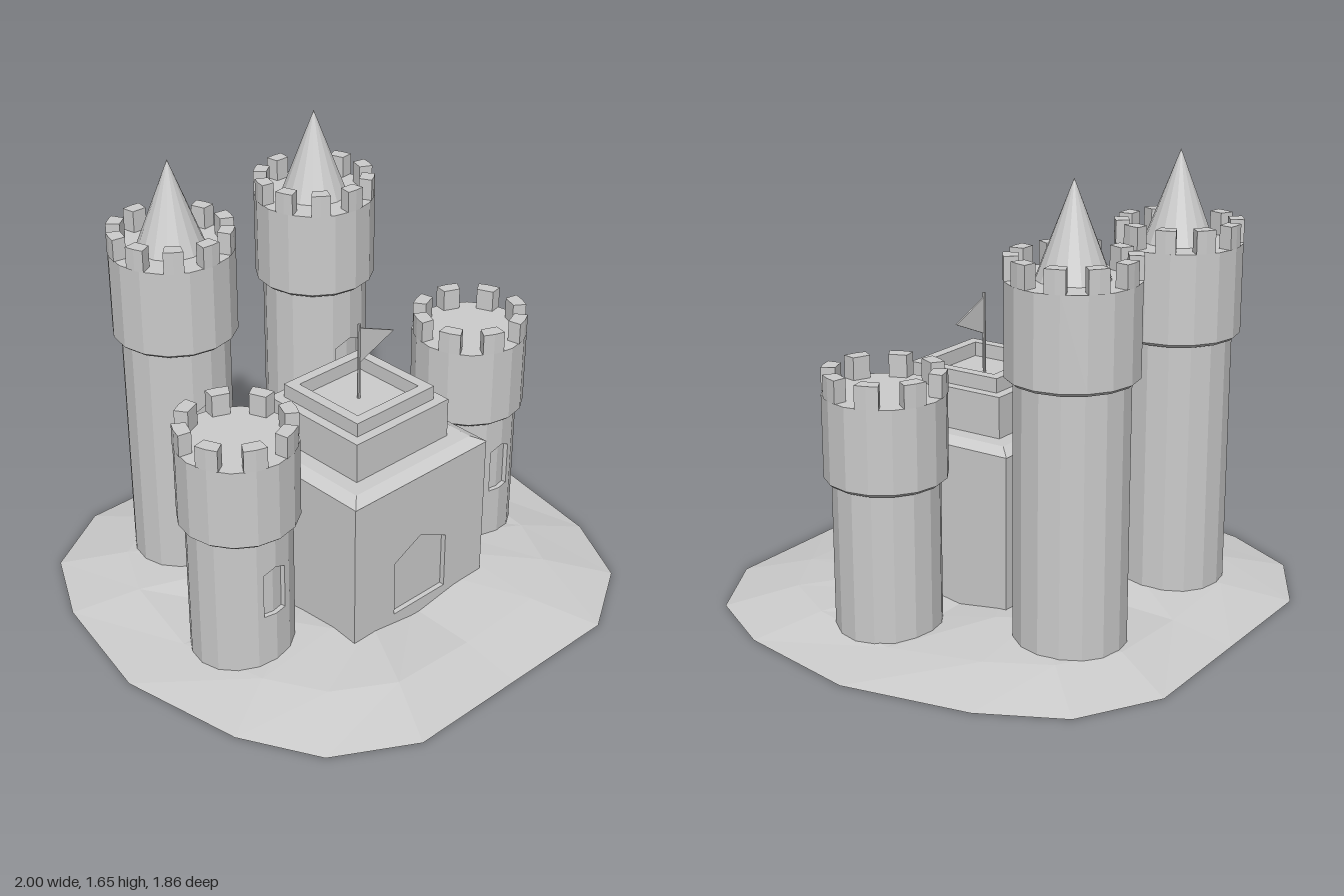
import * as THREE from 'three';

const mat = new THREE.MeshStandardMaterial({ color: 0xcccccc, flatShading: true });
const matDouble = new THREE.MeshStandardMaterial({ color: 0xcccccc, flatShading: true, side: THREE.DoubleSide });

function add(parent, name, geo, x = 0, y = 0, z = 0, material = mat) {
  const m = new THREE.Mesh(geo, material);
  m.name = name;
  m.position.set(x, y, z);
  parent.add(m);
  return m;
}

const shapeOf = pts => new THREE.Shape(pts.map(p => new THREE.Vector2(p[0], p[1])));
const extrude = (shape, depth) => new THREE.ExtrudeGeometry(shape, { depth, bevelEnabled: false });
const square = h => [[-h, -h], [h, -h], [h, h], [-h, h]];

// Low mound: rings of the outline scaled toward a shallow middle
function moundGeometry() {
  const half = [[0, -0.93], [0.465, -0.93], [0.755, -0.76], [0.905, -0.47], [1, 0], [0.91, 0.47], [0.755, 0.755], [0.465, 0.925], [0, 0.925]];
  const outline = [...half, ...half.slice(1, -1).reverse().map(([x, z]) => [-x, z])];
  const n = outline.length;
  const rings = [[1, 0, 0], [0.75, 0.04, 0.02], [0.45, 0.045, 0.04], [0.001, 0.045, 0]];
  const pos = [], index = [];
  for (const [s, base, bump] of rings) {
    for (const [x, z] of outline) {
      const y = base + bump * Math.abs(Math.sin(2 * Math.atan2(z, x)));
      pos.push(x * s, y, z * s);
    }
  }
  for (let r = 0; r < rings.length - 1; r++) {
    for (let i = 0; i < n; i++) {
      const a = r * n + i, b = r * n + (i + 1) % n;
      index.push(a, a + n, b, b, a + n, b + n);
    }
  }
  const g = new THREE.BufferGeometry();
  g.setAttribute('position', new THREE.Float32BufferAttribute(pos, 3));
  g.setIndex(index);
  g.computeVertexNormals();
  return g;
}

// Round tower with a recessed pointed window across its two front facets
function makeTower({ name, r, R, collar, roof, top, merlons, offset, win }) {
  const t = new THREE.Group();
  t.name = name;
  const seg = Math.PI / 8, depth = 0.018;
  add(t, 'shaft', new THREE.CylinderGeometry(r, r, collar, 14, 1, true, seg, 14 * seg), 0, collar / 2, 0);
  add(t, 'shaftBase', new THREE.CircleGeometry(r, 16).rotateX(Math.PI / 2));

  const w = 2 * r * Math.sin(seg / 2);
  for (const s of [-1, 1]) {
    const panel = shapeOf([
      [0, 0], [s * w, 0], [s * w, collar], [0, collar], [0, win.apex],
      [s * win.half, win.shoulder], [s * win.half, win.sill], [0, win.sill],
    ]);
    const g = extrude(panel, depth).translate(0, 0, -depth).rotateY(s * seg / 2);
    add(t, 'windowWall', g, 0, 0, r);
  }
  const inner = r - depth, h = win.apex - win.sill + 0.04;
  add(t, 'windowBack', new THREE.CylinderGeometry(inner, inner, h, 2, 1, true, -seg, 2 * seg), 0, (win.apex + win.sill) / 2, 0);

  // Wider head with a small chamfer below
  const profile = [[r - 0.02, collar - 0.012], [R - 0.014, collar - 0.012], [R, collar], [R, roof], [0, roof]];
  add(t, 'towerHead', new THREE.LatheGeometry(profile.map(p => new THREE.Vector2(...p)), 16));

  // Battlements
  const step = 2 * Math.PI / merlons, a = step / 4, ri = R - 0.05;
  const tooth = shapeOf([[-a, R], [0, R], [a, R], [a, ri], [-a, ri]].map(([q, d]) => [d * Math.sin(q), d * Math.cos(q)]));
  for (let i = 0; i < merlons; i++) {
    const g = extrude(tooth, top - roof).rotateX(-Math.PI / 2).rotateY((i + offset) * step);
    add(t, 'merlon', g, 0, roof, 0);
  }
  return t;
}

// Stepped keep with a recessed door, hollow crown and flag
function makeKeep() {
  const k = new THREE.Group();
  k.name = 'keep';
  const H = 0.645, d = 0.02;
  add(k, 'keepBody', new THREE.BoxGeometry(0.66, H, 0.655 - d), 0, H / 2, -d / 2);
  const front = shapeOf([[-0.33, 0], [0.33, 0], [0.33, H], [-0.33, H]]);
  front.holes.push(new THREE.Path(
    [[-0.13, 0.1], [-0.13, 0.325], [0, 0.39], [0.13, 0.325], [0.13, 0.1]].map(p => new THREE.Vector2(...p))));
  add(k, 'doorWall', extrude(front, d), 0, 0, 0.3275 - d);

  const slope = new THREE.CylinderGeometry(0.285 * Math.SQRT2, 0.33 * Math.SQRT2, 0.022, 4, 1, false, Math.PI / 4);
  add(k, 'keepRoof', slope, 0, H + 0.011, 0);
  add(k, 'upperTier', new THREE.BoxGeometry(0.455, 0.165, 0.455), 0, 0.7375, 0);

  const rim = shapeOf(square(0.19));
  rim.holes.push(new THREE.Path(square(0.15).map(p => new THREE.Vector2(...p))));
  add(k, 'crown', extrude(rim, 0.053).rotateX(-Math.PI / 2), 0, 0.82, 0);

  add(k, 'flagpole', new THREE.CylinderGeometry(0.006, 0.006, 0.3, 8), 0, 0.97, 0);
  const flag = shapeOf([[0, 0.965], [0.17, 1.035], [0, 1.105]]);
  add(k, 'flag', extrude(flag, 0.006), 0, 0, -0.003);
  return k;
}

export function createModel() {
  const castle = new THREE.Group();
  castle.name = 'castle';
  add(castle, 'mound', moundGeometry(), 0, 0, 0, matDouble);

  const keep = makeKeep();
  keep.position.z = 0.123;
  castle.add(keep);

  for (const s of [-1, 1]) {
    const side = s > 0 ? 'Left' : 'Right';
    const frontTower = makeTower({
      name: 'front' + side + 'Tower', r: 0.19, R: 0.217, collar: 0.595, roof: 0.893, top: 0.975,
      merlons: 8, offset: 0.5, win: { half: 0.049, sill: 0.265, shoulder: 0.44, apex: 0.463 },
    });
    frontTower.position.set(s * 0.577, 0, 0.125);

    const backTower = makeTower({
      name: 'back' + side + 'Tower', r: 0.2, R: 0.23, collar: 1.002, roof: 1.325, top: 1.407,
      merlons: 10, offset: 0, win: { half: 0.066, sill: 0.545, shoulder: 0.745, apex: 0.777 },
    });
    backTower.position.set(s * 0.345, 0, -0.483);
    add(backTower, 'spire', new THREE.ConeGeometry(0.127, 0.33, 16), 0, 1.49, 0);
    castle.add(frontTower, backTower);
  }
  return castle;
}
